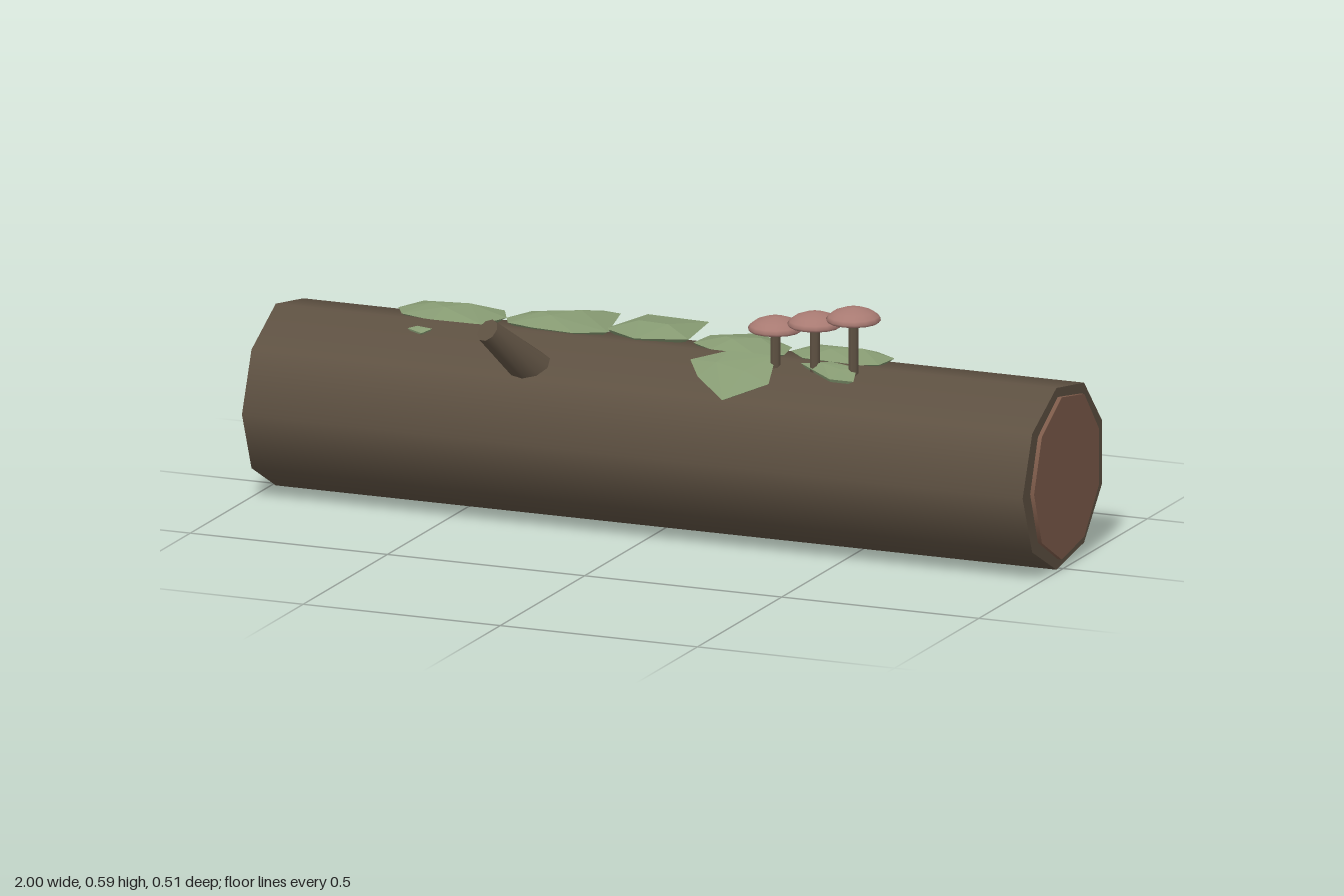
import * as THREE from 'three';
import { ConvexGeometry } from 'three/addons/geometries/ConvexGeometry.js';

const material = (color, flatShading = false) => new THREE.MeshStandardMaterial({ color, flatShading });
const bark = material(0x5e5142);
const wood = material(0x7d5b4a);
const moss = material(0x869a72, true);
const capPink = material(0xa87a72);

const CENTRE_Y = 0.221, CENTRE_Z = -0.026;

function add(parent, name, geometry, mat) {
  const mesh = new THREE.Mesh(geometry, mat);
  mesh.name = name;
  parent.add(mesh);
  return mesh;
}

// Tapered cylinder between two points
function rod(parent, name, from, to, rFrom, rTo, sides, mat) {
  const a = new THREE.Vector3(...from), b = new THREE.Vector3(...to);
  const mesh = add(parent, name, new THREE.CylinderGeometry(rTo, rFrom, a.distanceTo(b), sides), mat);
  mesh.position.copy(a).add(b).multiplyScalar(0.5);
  mesh.quaternion.setFromUnitVectors(new THREE.Vector3(0, 1, 0), b.sub(a).normalize());
  return mesh;
}

// Faceted clump: plan outline at rim height, a raised crown and a narrower underside
function mossClump(parent, outline, rimY, slope, crown, depth) {
  const cx = outline.reduce((s, p) => s + p[0], 0) / outline.length;
  const cz = outline.reduce((s, p) => s + p[1], 0) / outline.length;
  const points = [];
  const ring = (scale, lift, step) => outline.forEach(([x, z], i) => {
    if (i % step) return;
    const pz = cz + (z - cz) * scale;
    points.push(new THREE.Vector3(cx + (x - cx) * scale, rimY + slope * pz + lift, pz));
  });
  ring(1, 0, 1);
  ring(0.35, crown, 3);
  ring(0.4, -depth, 2);
  add(parent, 'mossClump', new ConvexGeometry(points), moss);
}

export function createModel() {
  const model = new THREE.Group();
  model.name = 'fallenLog';

  // Nine-sided trunk, slightly wider than tall
  const trunk = new THREE.CylinderGeometry(1, 1, 1.98, 9).rotateZ(Math.PI / 2).scale(1, 0.2224, 0.243);
  add(model, 'trunk', trunk, bark).position.set(0, CENTRE_Y, CENTRE_Z);

  // Cut wood faces standing just proud of the trunk ends
  for (const side of [-1, 1]) {
    const face = new THREE.CylinderGeometry(0.1985, 0.1985, 0.02, 9).rotateZ(Math.PI / 2);
    add(model, 'cutFace', face, wood).position.set(side * 0.99, CENTRE_Y, CENTRE_Z);
  }

  // Broken branch stub
  rod(model, 'branchStub', [-0.29, 0.355, 0.085], [-0.36, 0.493, 0.235], 0.05, 0.029, 9, bark);

  // Moss along the top, then the smaller clumps on the front slope
  const mossGroup = new THREE.Group();
  mossGroup.name = 'moss';
  model.add(mossGroup);
  const topClumps = [
    [[-0.72, -0.08], [-0.69, -0.16], [-0.6, -0.17], [-0.48, -0.15], [-0.45, -0.09], [-0.48, -0.01], [-0.6, 0], [-0.69, -0.03]],
    [[-0.45, -0.09], [-0.42, -0.17], [-0.27, -0.24], [-0.22, -0.23], [-0.18, -0.06], [-0.25, -0.02], [-0.36, -0.03], [-0.43, -0.05]],
    [[-0.2, -0.09], [-0.16, -0.25], [0, -0.24], [0.02, -0.07], [-0.1, -0.03]],
    [[0.04, -0.05], [0.05, -0.13], [0.15, -0.19], [0.27, -0.1], [0.28, -0.03], [0.23, 0.01], [0.1, -0.01]],
    [[0.28, -0.07], [0.31, -0.15], [0.47, -0.14], [0.53, -0.1], [0.52, -0.03], [0.48, -0.01], [0.33, -0.02]],
  ];
  for (const outline of topClumps) mossClump(mossGroup, outline, 0.436, 0, 0.02, 0.05);
  const slopeClumps = [
    [[0.08, 0.06], [0.16, 0.02], [0.28, 0.02], [0.3, 0.11], [0.21, 0.175], [0.12, 0.11]],
    [[0.35, 0.035], [0.42, 0.02], [0.49, 0.03], [0.5, 0.075], [0.44, 0.075]],
  ];
  for (const outline of slopeClumps) mossClump(mossGroup, outline, 0.456, -0.5, 0.012, 0.04);
  mossClump(mossGroup, [[-0.64, 0.053], [-0.62, 0.043], [-0.58, 0.047], [-0.6, 0.064]], 0.454, -0.53, 0.003, 0.02);

  // Row of three mushrooms, each a little taller than the last
  const capProfile = [[0, 0], [0.052, 0], [0.06, 0.001], [0.065, 0.007], [0.06, 0.015], [0.047, 0.025], [0.025, 0.033], [0, 0.036]]
    .map(([r, y]) => new THREE.Vector2(r, y));
  [[0.286, 0.51], [0.386, 0.531], [0.484, 0.552]].forEach(([x, capY]) => {
    const mushroom = new THREE.Group();
    mushroom.name = 'mushroom';
    model.add(mushroom);
    rod(mushroom, 'stem', [x, 0.4, 0.037], [x, capY - 0.007, 0.037], 0.0125, 0.0125, 8, bark);
    add(mushroom, 'cap', new THREE.LatheGeometry(capProfile, 14), capPink).position.set(x, capY, 0.037);
  });

  return model;
}
